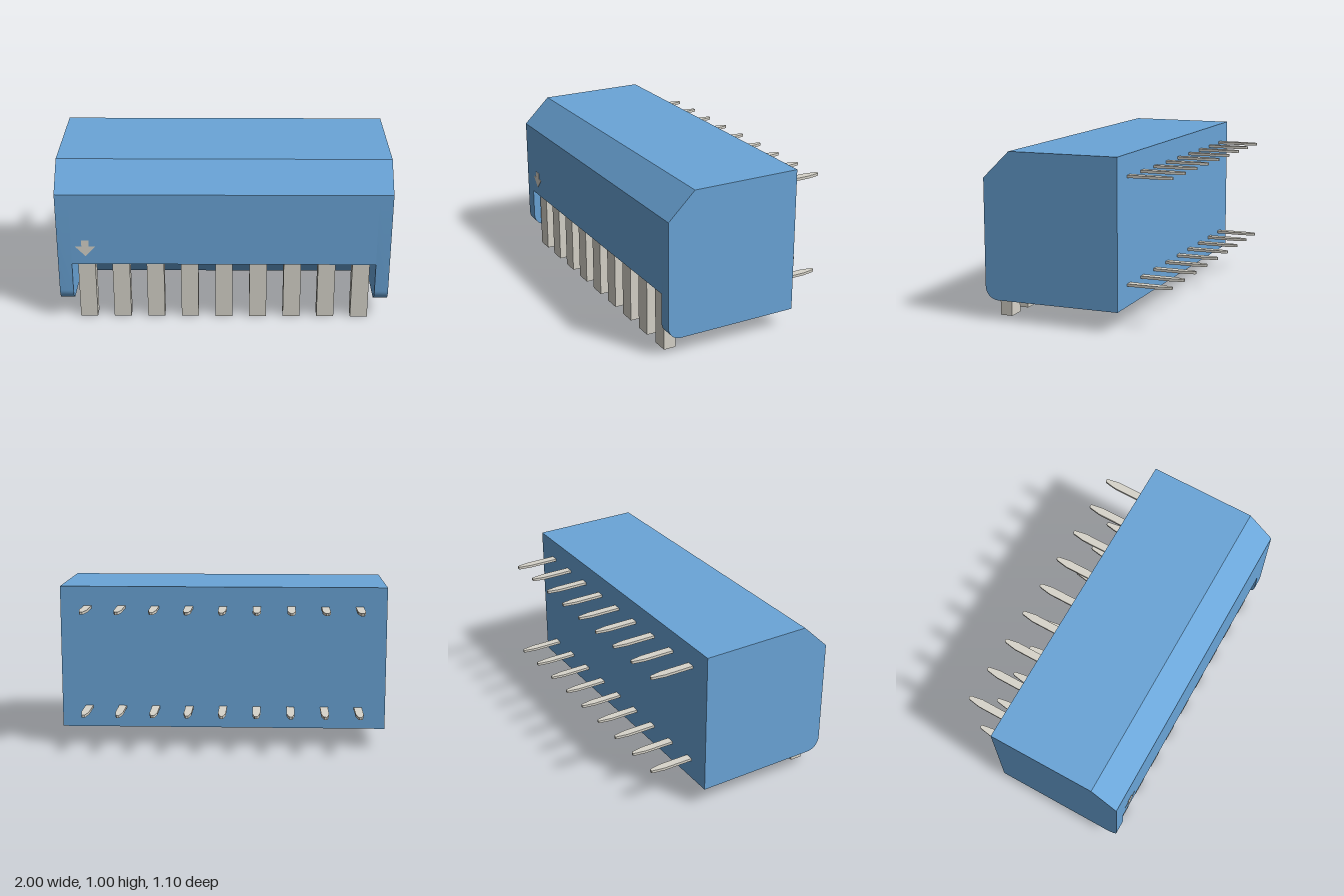
import * as THREE from 'three';
import { mergeGeometries, toCreasedNormals } from 'three/addons/utils/BufferGeometryUtils.js';

const PITCH = 0.208, COUNT = 9;
const BACK = -0.285, FRONT = 0.55, BOTTOM = 0.12, TOP = 1;
const NOTCH_X = 0.917, NOTCH_Y = 0.38;

// Profiles are drawn in (-z, y), anticlockwise as seen from +x.
const pt = (z, y) => new THREE.Vector2(-z, y);

// Rounded lower front edge, running from the front face to the underside
function fillet() {
  const r = 0.08, pts = [];
  for (let i = 0; i <= 10; i++) {
    const a = (i / 10) * Math.PI / 2;
    pts.push(pt(FRONT - r + r * Math.cos(a), BOTTOM + r - r * Math.sin(a)));
  }
  return pts;
}

// Walls swept along x around a closed profile
function sweep(profile, x0, x1) {
  const pos = [];
  profile.forEach((p, i) => {
    const q = profile[(i + 1) % profile.length];
    const v = (s, x) => [x, s.y, -s.x];
    pos.push(...v(p, x0), ...v(q, x0), ...v(q, x1), ...v(p, x0), ...v(q, x1), ...v(p, x1));
  });
  const g = new THREE.BufferGeometry();
  g.setAttribute('position', new THREE.Float32BufferAttribute(pos, 3));
  g.computeVertexNormals();
  return g;
}

// Flat end face at x, looking towards +x or -x
function cap(profile, x, dir) {
  const g = new THREE.ShapeGeometry(new THREE.Shape(profile));
  g.rotateY(Math.PI / 2).translate(x, 0, 0);
  if (dir < 0) g.index.array.reverse();
  const flat = g.toNonIndexed();
  flat.deleteAttribute('uv');
  flat.computeVertexNormals();
  return flat;
}

function housingGeometry() {
  const upper = [pt(BACK, BOTTOM), pt(BACK, TOP), pt(0.385, TOP), pt(FRONT, 0.84)];
  const notch = [pt(FRONT, NOTCH_Y), pt(0.407, NOTCH_Y), pt(0.147, BOTTOM)];
  const full = [...upper, ...fillet()];
  const cut = [...upper, ...notch];
  const cheek = [...notch].reverse().concat(fillet());
  return toCreasedNormals(mergeGeometries([
    sweep(full, -1, -NOTCH_X), sweep(cut, -NOTCH_X, NOTCH_X), sweep(full, NOTCH_X, 1),
    cap(full, -1, -1), cap(full, 1, 1),
    cap(cheek, -NOTCH_X, 1), cap(cheek, NOTCH_X, -1),
  ]), 0.5);
}

// Thin contact with a tapered tip, pointing to -z from the back face
function contactGeometry() {
  const w = 0.024, t = 0.012, len = 0.265, shoulder = 0.185, h = 0.016;
  const s = new THREE.Shape([
    [-w, 0], [w, 0], [w, shoulder], [t, len - 0.008], [t - 0.005, len],
    [-t + 0.005, len], [-t, len - 0.008], [-w, shoulder],
  ].map(([x, y]) => new THREE.Vector2(x, y)));
  const g = new THREE.ExtrudeGeometry(s, { depth: h, bevelEnabled: false });
  return g.translate(0, 0, -h / 2).rotateX(-Math.PI / 2);
}

// Pin-one marker on the front face
function markerGeometry() {
  const s = new THREE.Shape([
    [0, 0.435], [0.062, 0.5], [0.022, 0.5], [0.022, 0.54],
    [-0.022, 0.54], [-0.022, 0.5], [-0.062, 0.5],
  ].map(([x, y]) => new THREE.Vector2(x, y)));
  return new THREE.ExtrudeGeometry(s, { depth: 0.002, bevelEnabled: false });
}

export function createModel() {
  const model = new THREE.Group();
  const blue = new THREE.MeshStandardMaterial({ color: 0x6aa5d8 });
  const metal = new THREE.MeshStandardMaterial({ color: 0xd8d5cb });

  const add = (name, geometry, material, x = 0, y = 0, z = 0, parent = model) => {
    const mesh = new THREE.Mesh(geometry, material);
    mesh.name = name;
    mesh.position.set(x, y, z);
    parent.add(mesh);
  };
  const group = (name) => {
    const g = new THREE.Group();
    g.name = name;
    model.add(g);
    return g;
  };

  add('housing', housingGeometry(), blue);
  add('directionMarker', markerGeometry(), metal, -4 * PITCH, 0, FRONT);

  // Square legs below the notch, and two rows of contacts at the back
  const legs = group('legs'), upperRow = group('upperContacts'), lowerRow = group('lowerContacts');
  const leg = new THREE.BoxGeometry(0.105, NOTCH_Y, 0.075);
  const contact = contactGeometry();
  for (let i = 0; i < COUNT; i++) {
    const x = (i - (COUNT - 1) / 2) * PITCH;
    add('leg', leg, metal, x, NOTCH_Y / 2, 0.478, legs);
    add('upperContact', contact, metal, x, 0.873, BACK, upperRow);
    add('lowerContact', contact, metal, x, 0.247, BACK, lowerRow);
  }
  return model;
}
